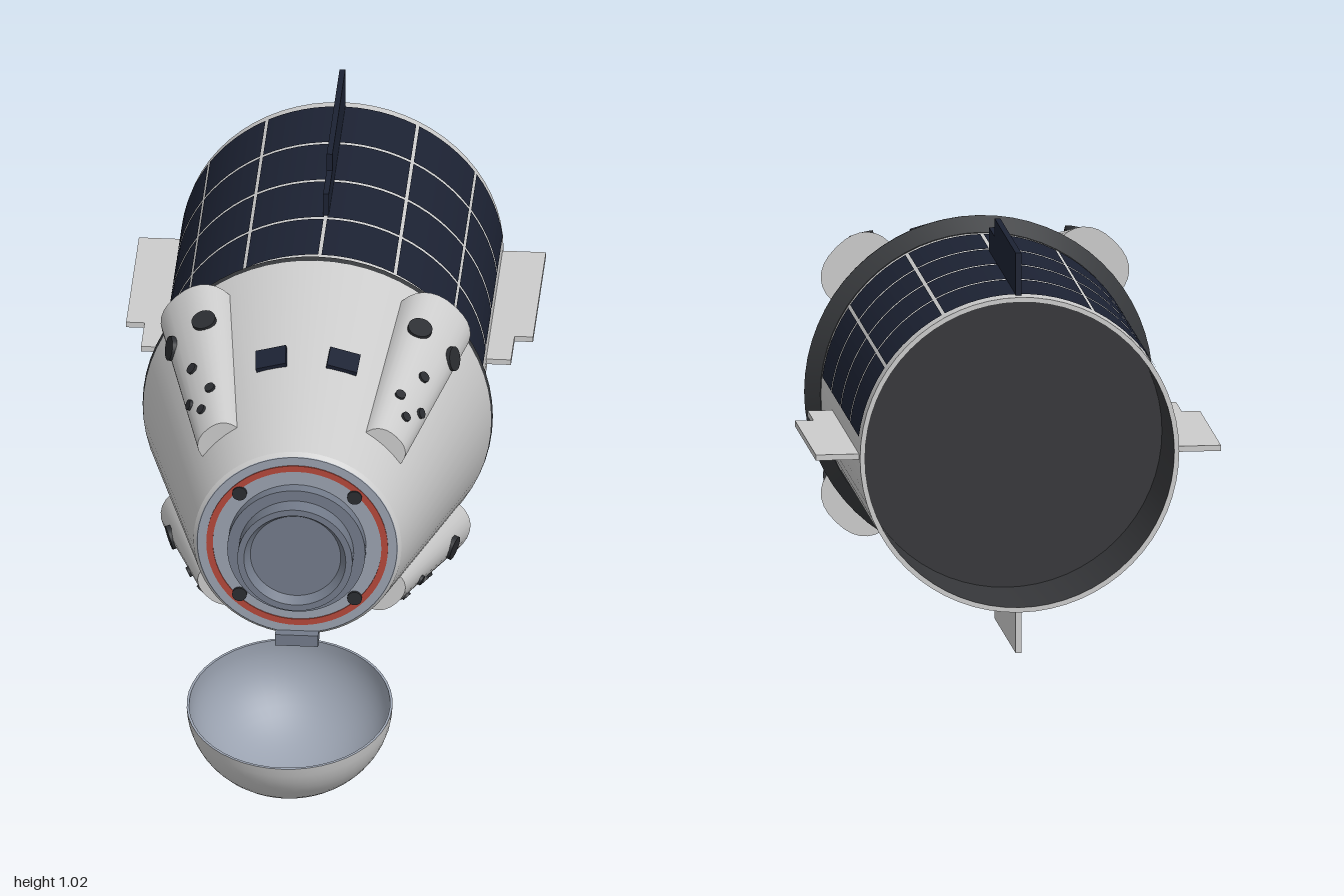
import * as THREE from 'three';
import { toCreasedNormals } from 'three/addons/utils/BufferGeometryUtils.js';

const GREY = 0xcccccc, DARK = 0x2b2d31, NAVY = 0x1c2233, PLATE = 0x9aa2b0, DOCK = 0x737b8a, RED = 0xb5483a;
const AXIS_Y = 0.525;

function add(parent, name, geometry, color = GREY) {
  const mesh = new THREE.Mesh(geometry, new THREE.MeshStandardMaterial({ color }));
  mesh.name = name;
  parent.add(mesh);
  return mesh;
}

// Solid of revolution around the z axis, profile given as [radius, z]
function turned(profile, segments = 64) {
  const pts = profile.map(([r, z]) => new THREE.Vector2(r, z));
  return toCreasedNormals(new THREE.LatheGeometry(pts, segments).rotateX(Math.PI / 2), 0.4);
}

// Radius of the conical hull at a given z
const hullRadius = z => 0.25 + 0.175 * (0.5 - z) / 0.665;

// Point on a thruster pod: u runs around the section, z along it; +y points away from the hull
function podPoint(u, z, scale = 1) {
  const k = (0.36 - z) / 0.46;
  const w = THREE.MathUtils.lerp(0.06, 0.1, k), h = THREE.MathUtils.lerp(0.055, 0.088, k);
  const soft = v => Math.sign(v) * Math.abs(v) ** 0.85;
  return new THREE.Vector3(w * scale * soft(Math.cos(u)), hullRadius(z) - 0.015 + h * scale * soft(Math.sin(u)), z);
}

function podGeometry() {
  const geo = new THREE.CylinderGeometry(1, 1, 1, 28, 1).rotateX(Math.PI / 2);
  const pos = geo.attributes.position;
  for (let i = 0; i < pos.count; i++) {
    const x = pos.getX(i), y = pos.getY(i), z = pos.getZ(i) > 0 ? 0.36 : -0.1;
    const p = podPoint(Math.atan2(y, x), z, Math.min(1, Math.hypot(x, y)));
    pos.setXYZ(i, p.x, p.y, p.z);
  }
  return toCreasedNormals(geo, 0.6);
}

function buildPod(angle) {
  const pod = new THREE.Group();
  pod.name = 'thrusterPod';
  add(pod, 'podHousing', podGeometry());
  // Nozzle openings: [angle around section, z, radius]
  const q = Math.PI / 2;
  const nozzles = [[q - 0.62, 0.02, 0.03], [q + 0.62, 0.02, 0.03], [q, 0.15, 0.014],
    [q - 0.45, 0.24, 0.013], [q + 0.45, 0.24, 0.013], [q, 0.29, 0.012]];
  for (const [u, z, r] of nozzles) {
    const p = podPoint(u, z);
    const du = podPoint(u + 0.02, z).sub(p), dz = podPoint(u, z + 0.02).sub(p);
    const normal = dz.cross(du).normalize();
    if (normal.y < 0) normal.negate();
    const disc = add(pod, 'nozzle', new THREE.CylinderGeometry(r, r, 0.012, 20), DARK);
    disc.position.copy(p);
    disc.quaternion.setFromUnitVectors(new THREE.Vector3(0, 1, 0), normal);
  }
  pod.rotation.z = angle;
  return pod;
}

// Stepped fin reaching out along +x
function finGeometry() {
  const outline = [[0.38, -0.975], [0.495, -0.975], [0.495, -0.555], [0.45, -0.555], [0.45, -0.438], [0.38, -0.438]];
  const shape = new THREE.Shape(outline.map(([x, y]) => new THREE.Vector2(x, y)));
  return new THREE.ExtrudeGeometry(shape, { depth: 0.014, bevelEnabled: false })
    .translate(0, 0, -0.007).rotateX(Math.PI / 2);
}

function buildTrunk(body) {
  add(body, 'trunkShell', turned([[0.378, -1], [0.39, -1], [0.39, -0.2]]));
  add(body, 'trunkInterior', turned([[0, -0.75], [0.378, -0.75], [0.378, -1]]), 0x36373a);
  add(body, 'trunkBand', turned([[0.385, -0.212], [0.392, -0.212], [0.426, -0.17], [0.423, -0.155]]), 0x37393c);

  // Solar cells over the upper half, separated by narrow gaps
  const deg = Math.PI / 180, colAngle = 27.8 * deg, gap = 1.2 * deg;
  for (let col = 0; col < 6; col++) {
    for (let row = 0; row < 4; row++) {
      const start = Math.PI / 2 + 6.6 * deg + col * colAngle;
      const cell = new THREE.CylinderGeometry(0.393, 0.393, 0.177, 6, 1, true, start + gap / 2, colAngle - gap)
        .rotateX(Math.PI / 2).translate(0, 0, -0.327 - row * 0.186);
      add(body, 'solarCell', cell, NAVY);
    }
  }

  for (let i = 0; i < 4; i++) {
    const fin = add(body, 'fin', finGeometry(), i === 1 ? NAVY : GREY);
    fin.rotation.z = i * Math.PI / 2;
  }
}

function buildCapsule(body) {
  add(body, 'capsuleHull', turned([[0.425, -0.165], [0.253, 0.49], [0.245, 0.5]]));
  add(body, 'nosePlate', turned([[0.246, 0.498], [0.243, 0.501], [0, 0.501]]), PLATE);
  add(body, 'noseRing', turned([[0.221, 0.5], [0.221, 0.504], [0.205, 0.504], [0.205, 0.5]]), RED);
  // Docking port with stepped collar and shallow recess
  add(body, 'dockingPort', turned([[0.168, 0.5], [0.168, 0.532], [0.14, 0.532], [0.14, 0.578],
    [0.124, 0.578], [0.11, 0.555], [0, 0.555]]), DOCK);

  for (let i = 0; i < 4; i++) {
    const angle = Math.PI / 4 + i * Math.PI / 2;
    const port = add(body, 'nosePort', new THREE.CylinderGeometry(0.018, 0.018, 0.012, 20).rotateX(Math.PI / 2), DARK);
    port.position.set(0.198 * Math.cos(angle), 0.198 * Math.sin(angle), 0.502);
    body.add(buildPod(i * Math.PI / 2 + Math.PI / 4));
  }

  // Windows lying on the slope of the hull
  for (const side of [-1, 1]) {
    const mount = new THREE.Group();
    mount.name = 'windowMount';
    const pane = add(mount, 'window', new THREE.BoxGeometry(0.076, 0.016, 0.064), NAVY);
    pane.position.set(0, hullRadius(0.17) + 0.002, 0.17);
    pane.rotation.x = Math.atan(0.175 / 0.665);
    mount.rotation.z = -side * 0.26;
    body.add(mount);
  }
}

// Open nose cap hanging below the docking port
function buildNoseCap() {
  const cap = new THREE.Group();
  cap.name = 'noseCap';
  const bowl = (r, depth) => Array.from({ length: 15 }, (_, i) => {
    const a = (i / 14) * Math.PI / 2;
    return new THREE.Vector2(r * Math.sin(a), -depth * Math.cos(a));
  });
  add(cap, 'capOuter', new THREE.LatheGeometry(bowl(0.25, 0.216), 48));
  add(cap, 'capInner', new THREE.LatheGeometry(bowl(0.244, 0.208).reverse(), 48), PLATE);
  add(cap, 'capRim', new THREE.RingGeometry(0.244, 0.25, 48).rotateX(-Math.PI / 2), PLATE);
  cap.position.set(0, 0.222, 0.748);
  cap.rotation.x = 0.18;
  return cap;
}

export function createModel() {
  const model = new THREE.Group();
  model.name = 'spaceCapsule';
  const body = new THREE.Group();
  body.name = 'body';
  body.position.y = AXIS_Y;
  model.add(body);
  buildTrunk(body);
  buildCapsule(body);
  model.add(buildNoseCap());
  const hinge = add(model, 'capHinge', new THREE.BoxGeometry(0.105, 0.03, 0.04), DOCK);
  hinge.position.set(0, 0.272, 0.505);
  return model;
}
